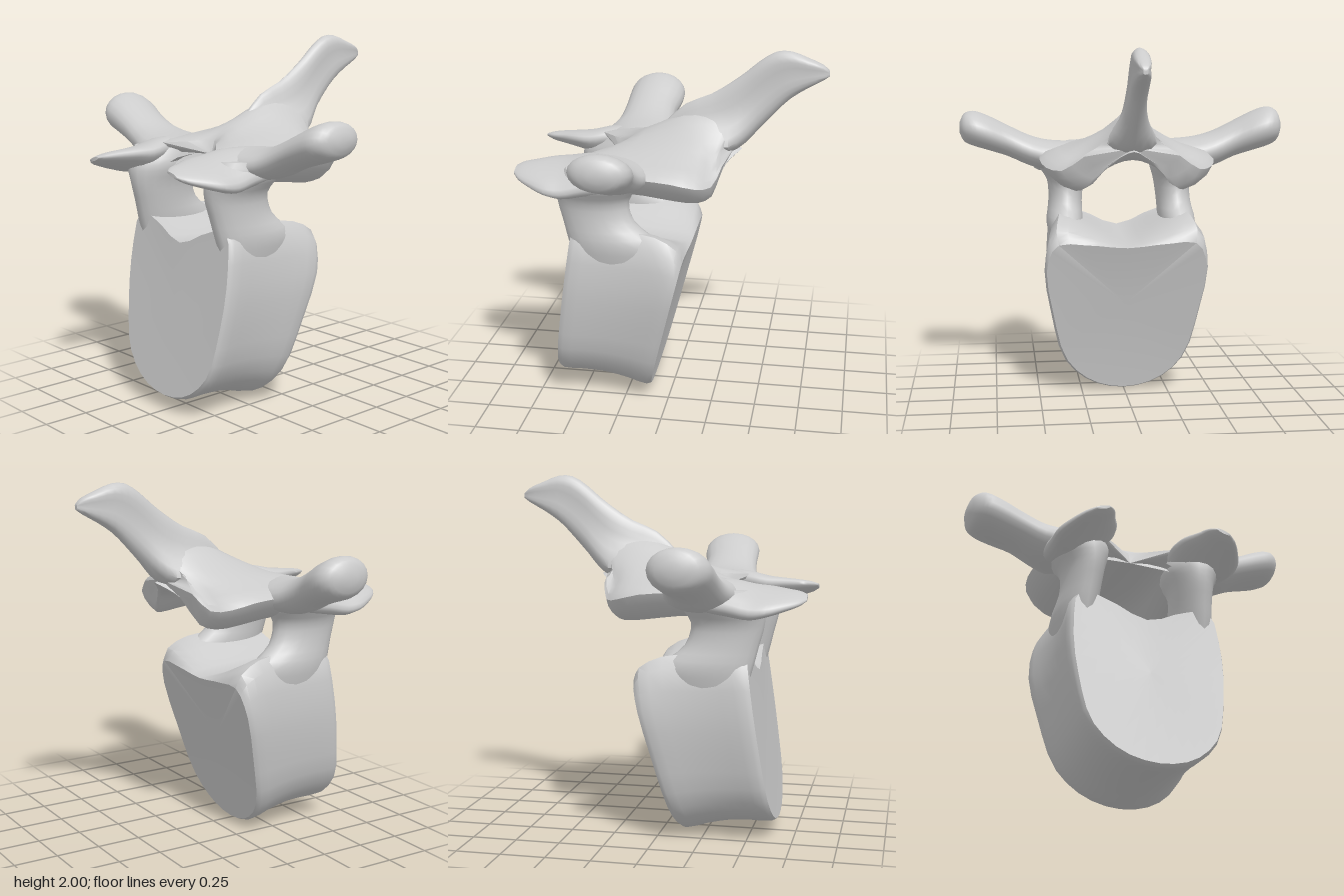
import * as THREE from 'three';
import { mergeVertices, toCreasedNormals } from 'three/addons/utils/BufferGeometryUtils.js';

const material = new THREE.MeshStandardMaterial({ color: 0xcccccc });
const V = (x, y, z) => new THREE.Vector3(x, y, z);

// Skin a closed solid over rings of equal point count, smoothing between rings.
// dish shifts the centre of the first and last cap along z.
function loft(rings, perSpan = 3, crease = 0.9, dish = [0, 0]) {
  const n = rings[0].length, rows = (rings.length - 1) * perSpan;
  const lines = rings[0].map((_, j) => new THREE.CatmullRomCurve3(rings.map(r => r[j])));
  const pts = [], index = [];
  for (let i = 0; i <= rows; i++) for (const l of lines) pts.push(l.getPoint(i / rows));
  for (let i = 0; i < rows; i++) for (let j = 0; j < n; j++) {
    const a = i * n + j, b = i * n + (j + 1) % n;
    index.push(a, b, b + n, a, b + n, a + n);
  }
  [0, rows].forEach((row, end) => {
    const c = V(0, 0, 0);
    for (let j = 0; j < n; j++) c.addScaledVector(pts[row * n + j], 1 / n);
    c.z += dish[end];
    const k = pts.push(c) - 1;
    for (let j = 0; j < n; j++) {
      const a = row * n + j, b = row * n + (j + 1) % n;
      if (end) index.push(a, b, k); else index.push(b, a, k);
    }
  });
  // Turn the faces outward whichever way the rings run
  let volume = 0;
  for (let i = 0; i < index.length; i += 3)
    volume += pts[index[i]].dot(pts[index[i + 1]].clone().cross(pts[index[i + 2]]));
  if (volume < 0) index.reverse();
  const g = new THREE.BufferGeometry().setFromPoints(pts);
  g.setIndex(index);
  return toCreasedNormals(mergeVertices(g, 1e-4), crease);
}

// Ellipse of half sizes a, b along the directions u, v
function ellipse(c, u, v, a, b, n = 20) {
  return Array.from({ length: n }, (_, i) => {
    const t = i / n * Math.PI * 2;
    return c.clone().addScaledVector(u, a * Math.cos(t)).addScaledVector(v, b * Math.sin(t));
  });
}

// Mirror a half outline (first and last points on the midline) and round it
function mirroredRing(half, n = 36) {
  const other = half.slice(1, -1).reverse().map(p => V(-p.x, p.y, p.z));
  const curve = new THREE.CatmullRomCurve3([...half, ...other], true);
  return Array.from({ length: n }, (_, i) => curve.getPoint(i / n));
}

function bodyGeometry() {
  const front = [[0, 0.075], [0.2, 0.12], [0.35, 0.26], [0.41, 0.5], [0.43, 0.8], [0.38, 1.04], [0.22, 1.01], [0, 0.925]];
  const back = [[0, -0.005], [0.2, 0.045], [0.35, 0.19], [0.43, 0.48], [0.47, 0.78], [0.41, 0.90], [0.22, 0.90], [0, 0.88]];
  const swell = [0, 0, 0, 0, 0, 0.1, 0.05, 0];
  const stations = [[0, 0.97], [0.05, 1], [0.25, 0.97], [0.5, 0.95], [0.75, 0.97], [0.95, 1], [1, 0.97]];
  // The end faces lean; the upper shoulders swell towards the pedicles
  return loft(stations.map(([t, s]) => mirroredRing(back.map(([bx, by], i) => {
    const [fx, fy] = front[i];
    const zBack = 0.12 - 0.245 * by, zFront = 0.665 - 0.145 * fy;
    const y = by + (fy - by) * t;
    return V((bx + (fx - bx) * t) * s,
      i < 5 ? 0.5 + (y - 0.5) * s : y + swell[i] * Math.sin(Math.PI * Math.sqrt(t)),
      zBack + (zFront - zBack) * t);
  }))), 2, 0.6, [0.035, -0.01]);
}

function laminaGeometry() {
  const k = [0, 0.28, 0.65, 1, 0.65, 0.36, 0];
  const forward = [0, 0.45, 1, 0.8, 1, 0.7, 0];
  // z, half width, forward sweep of the sides, heights from ridge round to underside
  const stations = [
    [0.28, 0.43, 0.20, [1.46, 1.45, 1.43, 1.38, 1.27, 1.36, 1.395]],
    [0.22, 0.45, 0.14, [1.51, 1.48, 1.45, 1.39, 1.26, 1.36, 1.40]],
    [0.08, 0.48, 0.04, [1.58, 1.52, 1.46, 1.39, 1.25, 1.36, 1.40]],
    [-0.05, 0.49, 0, [1.64, 1.55, 1.46, 1.38, 1.23, 1.35, 1.40]],
    [-0.18, 0.46, 0.01, [1.66, 1.56, 1.45, 1.35, 1.22, 1.34, 1.40]],
    [-0.30, 0.38, 0.06, [1.66, 1.56, 1.43, 1.34, 1.245, 1.35, 1.40]],
    [-0.375, 0.26, 0.10, [1.66, 1.58, 1.48, 1.42, 1.36, 1.40, 1.45]],
  ];
  return loft(stations.map(([z, w, sweep, ys]) =>
    mirroredRing(ys.map((y, i) => V(k[i] * w, y, z + sweep * forward[i])))), 2, 0.7, [-0.11, -0.03]);
}

// A blade that is thin along its crest and flares at its root
function spineGeometry() {
  // z, top, bottom, half width of crest, half width of base
  const stations = [
    [0.06, 1.58, 1.46, 0.015, 0.05], [-0.06, 1.69, 1.46, 0.02, 0.12], [-0.20, 1.75, 1.45, 0.025, 0.15],
    [-0.31, 1.82, 1.43, 0.03, 0.13], [-0.39, 1.88, 1.48, 0.032, 0.085], [-0.46, 1.94, 1.56, 0.035, 0.055],
    [-0.55, 1.995, 1.66, 0.038, 0.042], [-0.63, 1.998, 1.74, 0.04, 0.042], [-0.72, 1.965, 1.80, 0.04, 0.038],
    [-0.80, 1.93, 1.845, 0.03, 0.028], [-0.835, 1.90, 1.87, 0.012, 0.012],
  ];
  return loft(stations.map(([z, top, bottom, crest, base]) => {
    const at = (w, f) => V(w, top + (bottom - top) * f, z);
    return mirroredRing([at(0, 0), at(crest, 0.1), at(crest + (base - crest) * 0.3, 0.45), at(base, 0.85), at(0, 1)], 24);
  }), 2);
}

// Each row: centre x, y, z, then the half sizes along u and v
const sideParts = {
  pedicle: {
    u: V(1, 0, 0), v: V(0, 0, 1),
    rows: [
      [0.34, 0.84, 0.28, 0.07, 0.22], [0.335, 0.98, 0.29, 0.105, 0.25], [0.325, 1.10, 0.37, 0.10, 0.20],
      [0.32, 1.22, 0.40, 0.11, 0.20], [0.335, 1.32, 0.37, 0.155, 0.23], [0.345, 1.41, 0.34, 0.15, 0.20],
    ],
  },
  superiorFacet: {
    u: V(1, -0.28, 0), v: V(0, 1, 0),
    rows: [
      [0.36, 1.38, 0.26, 0.13, 0.07], [0.34, 1.365, 0.42, 0.16, 0.08], [0.335, 1.345, 0.54, 0.175, 0.072],
      [0.34, 1.35, 0.63, 0.165, 0.055], [0.34, 1.358, 0.72, 0.12, 0.04], [0.33, 1.365, 0.79, 0.08, 0.025],
      [0.325, 1.37, 0.825, 0.04, 0.01],
    ],
  },
  transverseProcess: {
    u: V(0, 1, 0), v: V(0, 0, 1),
    rows: [
      [0.20, 1.42, 0.30, 0.04, 0.10], [0.32, 1.395, 0.275, 0.065, 0.19], [0.44, 1.385, 0.27, 0.085, 0.20],
      [0.54, 1.41, 0.265, 0.088, 0.17], [0.66, 1.465, 0.26, 0.09, 0.155], [0.78, 1.515, 0.245, 0.10, 0.165],
      [0.86, 1.54, 0.24, 0.10, 0.16], [0.91, 1.545, 0.235, 0.08, 0.12], [0.935, 1.545, 0.23, 0.03, 0.05],
    ],
  },
};

export function createModel() {
  const model = new THREE.Group();
  model.name = 'vertebra';
  const add = (name, geometry) => {
    const mesh = new THREE.Mesh(geometry, material);
    mesh.name = name;
    model.add(mesh);
  };
  add('vertebralBody', bodyGeometry());
  add('lamina', laminaGeometry());
  add('spinousProcess', spineGeometry());
  // Paired parts; on the right the facet sits further out and the process is thicker
  for (const [label, s] of [['left', 1], ['right', -1]]) {
    for (const [name, { u, v, rows }] of Object.entries(sideParts)) {
      const thick = name === 'transverseProcess' && s < 0 ? 1.15 : 1;
      const shift = name === 'superiorFacet' && s < 0 ? 0.035 : 0;
      const mu = V(u.x * s, u.y, u.z);
      add(label + name[0].toUpperCase() + name.slice(1), loft(rows.map(([x, y, z, a, b]) =>
        ellipse(V((x + shift) * s, y, z), mu, v, a * thick, b))));
    }
  }
  return model;
}
